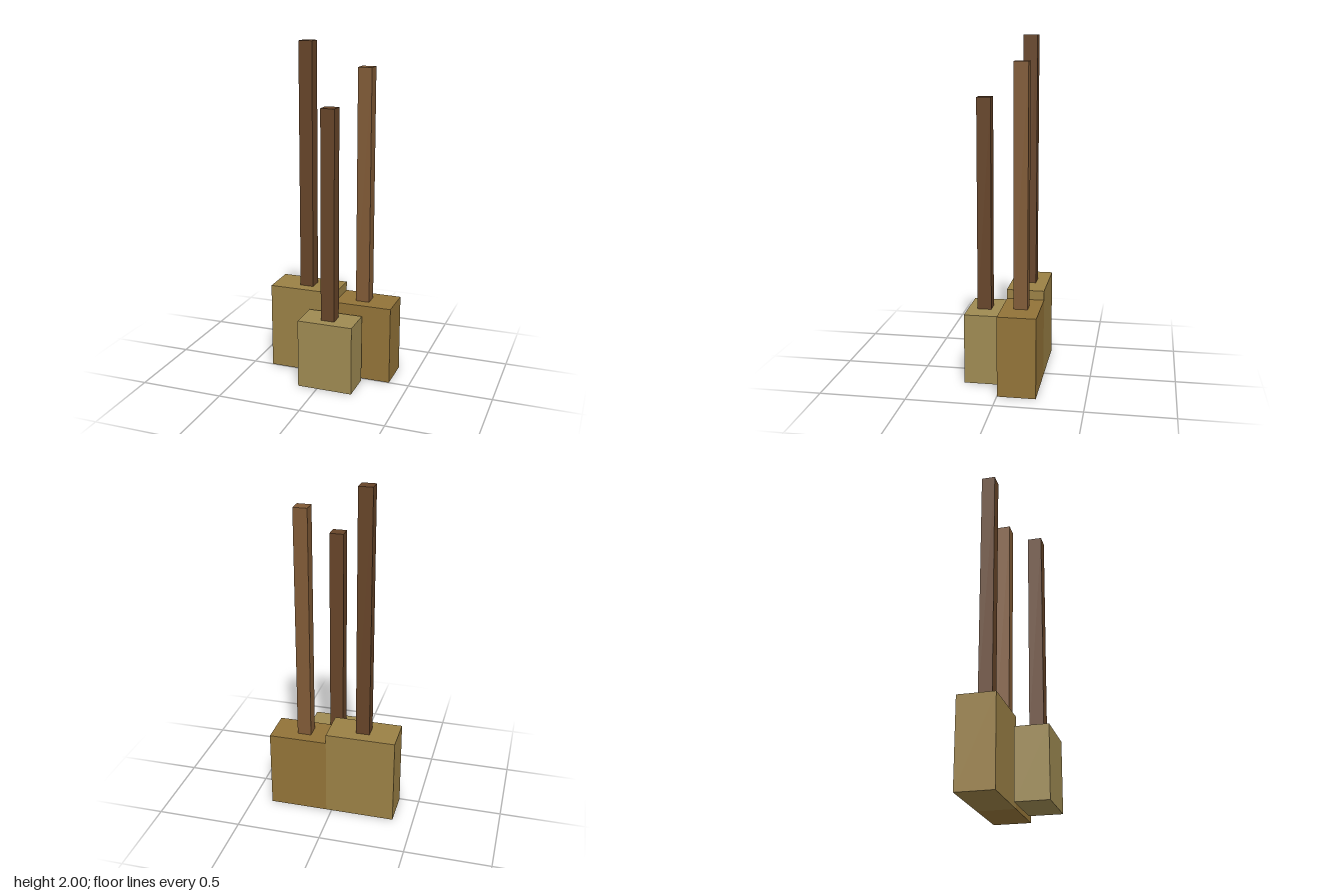
import * as THREE from 'three';

const HANDLE = 0.082;

function box(name, color, [x0, x1], [y0, y1], [z0, z1]) {
  const mesh = new THREE.Mesh(
    new THREE.BoxGeometry(x1 - x0, y1 - y0, z1 - z0),
    new THREE.MeshStandardMaterial({ color, flatShading: true })
  );
  mesh.name = name;
  mesh.position.set((x0 + x1) / 2, (y0 + y1) / 2, (z0 + z1) / 2);
  return mesh;
}

// A block standing on the ground with a tall square post on top
function postedBlock({ name, x, z, height, top, postX, postZ, blockColor, postColor }) {
  const h = HANDLE / 2;
  const group = new THREE.Group();
  group.name = name;
  group.add(
    box('block', blockColor, x, [0, height], z),
    box('post', postColor, [postX - h, postX + h], [height, top], [postZ - h, postZ + h])
  );
  return group;
}

export function createModel() {
  const model = new THREE.Group();
  model.name = 'postedBlocks';
  const backZ = [-0.222, -0.001];
  const parts = [
    // Tallest, back right
    { name: 'backRight', x: [-0.379, 0.033], z: backZ, height: 0.525, top: 2,
      postX: -0.173, postZ: -0.111, blockColor: 0x9a8045, postColor: 0x664428 },
    // Back left, butted against its taller neighbour
    { name: 'backLeft', x: [0.033, 0.379], z: backZ, height: 0.47, top: 1.863,
      postX: 0.185, postZ: -0.111, blockColor: 0x927338, postColor: 0x805a36 },
    // Shortest, standing free in front
    { name: 'front', x: [-0.118, 0.213], z: [0.027, 0.221], height: 0.415, top: 1.658,
      postX: 0.047, postZ: 0.124, blockColor: 0x9e8a52, postColor: 0x664428 },
  ];
  for (const part of parts) model.add(postedBlock(part));
  return model;
}
